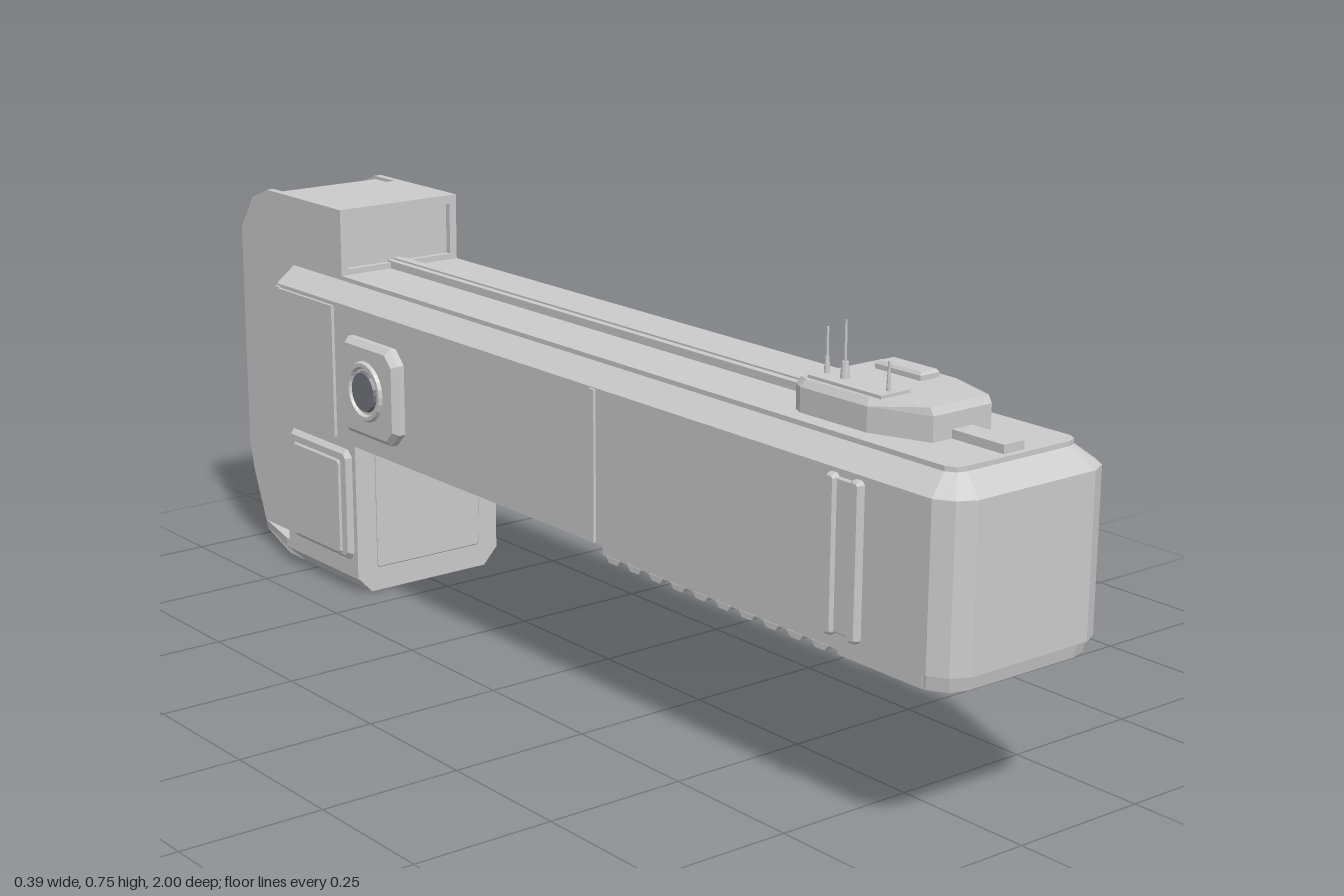
import * as THREE from 'three';

const grey = new THREE.MeshStandardMaterial({ color: 0xcccccc, flatShading: true });
const dark = new THREE.MeshStandardMaterial({ color: 0x74787e, flatShading: true });

export function createModel() {
  const model = new THREE.Group();

  const add = (name, geo, x = 0, y = 0, z = 0, ry = 0, mat = grey) => {
    const m = new THREE.Mesh(geo, mat);
    m.name = name;
    m.position.set(x, y, z);
    m.rotation.y = ry;
    model.add(m);
    return m;
  };
  // Box from its limits
  const box = (name, x0, x1, y0, y1, z0, z1, mat = grey) =>
    add(name, new THREE.BoxGeometry(x1 - x0, y1 - y0, z1 - z0), (x0 + x1) / 2, (y0 + y1) / 2, (z0 + z1) / 2, 0, mat);

  // Stacked plan outlines; each level is [y, right half of outline from front to back]
  const stack = (levels) => {
    const rings = levels.map(([y, half]) =>
      [...half, ...half.map(([x, z]) => [-x, z]).reverse()].map(([x, z]) => [x, y, z]));
    const n = rings[0].length, v = [];
    for (let l = 0; l < rings.length - 1; l++) {
      const a = rings[l], b = rings[l + 1];
      for (let i = 0; i < n; i++) {
        const j = (i + 1) % n;
        v.push(...a[i], ...a[j], ...b[j], ...a[i], ...b[j], ...b[i]);
      }
    }
    const lo = rings[0], hi = rings[rings.length - 1];
    for (let i = 1; i < n - 1; i++) v.push(...hi[0], ...hi[i], ...hi[i + 1], ...lo[0], ...lo[i + 1], ...lo[i]);
    const g = new THREE.BufferGeometry();
    g.setAttribute('position', new THREE.Float32BufferAttribute(v, 3));
    g.computeVertexNormals();
    return g;
  };

  // Side profile of [z, y] points extruded from x0 to x1
  const profile = (pts, x0, x1) => {
    const s = new THREE.Shape(pts.map(([z, y]) => new THREE.Vector2(z, y)));
    return new THREE.ExtrudeGeometry(s, { depth: x1 - x0, bevelEnabled: false })
      .rotateY(-Math.PI / 2).translate(x1, 0, 0);
  };

  // Octagonal-cornered rectangle
  const rect = (w, h, c, Type = THREE.Shape) => {
    const a = w / 2, b = h / 2;
    return new Type([[a - c, -b], [a, -b + c], [a, b - c], [a - c, b], [-a + c, b], [-a, b - c], [-a, -b + c], [-a + c, -b]]
      .map(([x, y]) => new THREE.Vector2(x, y)));
  };
  // Raised pad with bevelled rim facing +z, optionally with an opening
  const pad = (w, h, d, bevel, corner = 0.01, open = null) => {
    const s = rect(w - 2 * bevel, h - 2 * bevel, corner);
    if (open) s.holes.push(rect(open[0], open[1], 0.004, THREE.Path));
    return new THREE.ExtrudeGeometry(s, {
      depth: d - bevel, bevelEnabled: bevel > 0, bevelSize: bevel, bevelThickness: bevel, bevelSegments: 1,
    });
  };
  const sides = [1, -1];
  const turn = Math.PI / 2;

  // Main beam with chamfered nose and shoulders
  const plan = [[0.12, 1], [0.15, 0.985], [0.168, 0.955], [0.168, -0.81]];
  const topPlan = [[0.105, 0.96], [0.12, 0.955], [0.13, 0.94], [0.13, -0.81]];
  add('beam', stack([[0.295, plan], [0.56, plan], [0.59, topPlan], [0.598, topPlan]]));
  box('topRail', -0.02, 0.02, 0.595, 0.612, -0.66, 0.6);
  box('topRailGroove', -0.007, 0.007, 0.61, 0.615, -0.66, 0.6);
  box('frontRail', -0.021, 0.021, 0.595, 0.612, 0.84, 0.95);

  // Lower rim: nose bar, side rails and grip teeth
  add('noseRim', stack([[0.268, [[0.11, 0.985], [0.14, 0.975], [0.158, 0.945], [0.158, 0.93]]],
    [0.296, [[0.113, 0.99], [0.143, 0.98], [0.16, 0.95], [0.16, 0.93]]]]));
  for (const s of sides) {
    const x = s * 0.145;
    box('lowerRail', x - 0.015, x + 0.015, 0.276, 0.297, 0.19, 0.94);
    box('lowerRailFront', x - 0.014, x + 0.014, 0.268, 0.28, 0.76, 0.94);
    for (let i = 0; i < 10; i++) {
      const z = 0.2 + i * 0.056;
      add('gripTooth', profile([[z, 0.277], [z + 0.008, 0.267], [z + 0.03, 0.267], [z + 0.038, 0.277]], x - 0.016, x + 0.016));
    }
    // Vertical straps, seams and rear side plates
    for (const z of [0.755, 0.808]) add('strap', pad(0.022, 0.25, 0.012, 0.004, 0.003), s * 0.168, 0.428, z, s * turn);
    add('strapPlate', pad(0.05, 0.24, 0.006, 0.002, 0.003), s * 0.168, 0.428, 0.782, s * turn);
    box('seamBand', Math.min(s * 0.16, s * 0.173), Math.max(s * 0.16, s * 0.173), 0.297, 0.558, 0.168, 0.182);
    box('rearBand', Math.min(s * 0.16, s * 0.174), Math.max(s * 0.16, s * 0.174), 0.3, 0.556, -0.81, -0.796);
  }

  // Louvred window on one side
  add('windowFrame', pad(0.52, 0.22, 0.018, 0.008, 0.014, [0.465, 0.165]), 0.168, 0.428, -0.15, turn);
  box('windowBack', 0.16, 0.17, 0.34, 0.515, -0.385, 0.085, dark);
  for (let i = 0; i < 3; i++) {
    const slat = add('windowSlat', new THREE.BoxGeometry(0.004, 0.05, 0.464), 0.175, 0.373 + i * 0.055, -0.15, 0, dark);
    slat.rotation.z = 0.2;
  }

  // Twin clamp bars behind the window
  box('clampPlate', 0.16, 0.172, 0.302, 0.553, -0.8, -0.465);
  for (const y of [0.35, 0.51]) {
    add('clampBar', pad(0.31, 0.062, 0.02, 0.006, 0.006, [0.27, 0.026]), 0.17, y, -0.635, turn);
    box('clampInset', 0.165, 0.18, y - 0.014, y + 0.014, -0.775, -0.495);
  }

  // Round port on the other side
  add('portPad', pad(0.19, 0.18, 0.022, 0.01, 0.02), -0.168, 0.42, -0.475, -turn);
  add('portRing', new THREE.TorusGeometry(0.05, 0.007, 6, 24), -0.19, 0.42, -0.475, turn);
  add('portCore', new THREE.CylinderGeometry(0.036, 0.04, 0.01, 20).rotateZ(turn), -0.191, 0.42, -0.475, 0, dark);
  box('portSidePlate', -0.174, -0.16, 0.302, 0.553, -0.8, -0.61);

  // Rear column: recessed core between two full-profile cheeks
  const back = [[-0.64, 0.595], [-0.64, 0.722], [-0.9, 0.722], [-0.955, 0.7], [-1, 0.635],
    [-1, 0.2], [-0.985, 0.14], [-0.94, 0.03], [-0.86, 0], [-0.8, 0], [-0.8, 0.595]];
  const core = [[-0.652, 0.59], [-0.652, 0.716], [-0.895, 0.716], [-0.948, 0.693], [-0.99, 0.63],
    [-0.99, 0.203], [-0.975, 0.143], [-0.932, 0.037], [-0.86, 0.005], [-0.79, 0.005], [-0.79, 0.59]];
  add('columnCore', profile(core, -0.12, 0.12));
  for (const x0 of [-0.13, 0.115]) add('columnCheek', profile(back, x0, x0 + 0.015));
  box('columnUpperBar', -0.12, 0.12, 0.6, 0.636, -1, -0.98);
  box('columnLowerBar', -0.12, 0.12, 0.2, 0.225, -1, -0.98);
  box('columnTopPlate', -0.12, 0.12, 0.71, 0.722, -0.83, -0.64);
  box('headFrameTop', -0.12, 0.12, 0.705, 0.722, -0.655, -0.64);
  box('headFrameBottom', -0.12, 0.12, 0.595, 0.609, -0.655, -0.64);
  add('columnBottomBar', profile([[-0.94, 0.03], [-0.86, 0], [-0.84, 0.02], [-0.92, 0.06], [-0.95, 0.055]], -0.12, 0.12));

  // Foot block with chamfered base tapering into the column
  box('foot', -0.16, 0.16, 0.03, 0.297, -0.81, -0.563);
  add('footBase', stack([[0, [[0.13, -0.563], [0.13, -0.8], [0.12, -0.86]]],
    [0.032, [[0.16, -0.563], [0.16, -0.82], [0.13, -0.94]]],
    [0.047, [[0.16, -0.563], [0.16, -0.82], [0.13, -0.945]]]]));
  add('footFrontPanel', pad(0.234, 0.24, 0.004, 0.002, 0.002), 0, 0.166, -0.563);
  for (const s of sides) {
    add('footSidePad', pad(0.215, 0.215, 0.012, 0.008, 0.008), s * 0.158, 0.172, -0.682, s * turn);
    add('footSidePanel', pad(0.165, 0.185, 0.006, 0.003, 0.004), s * 0.168, 0.166, -0.682, s * turn);
  }

  // Top sensor housing
  const house = [[0.06, 0.845], [0.098, 0.745], [0.1, 0.6], [0.09, 0.58]];
  const houseTop = [[0.06, 0.838], [0.09, 0.74], [0.092, 0.605], [0.085, 0.585]];
  add('sensorHousing', stack([[0.596, house], [0.638, house], [0.65, houseTop]]));
  add('sensorButton', stack([[0.648, [[0.02, 0.05], [0.02, -0.05]]], [0.658, [[0.02, 0.05], [0.02, -0.05]]],
    [0.663, [[0.016, 0.046], [0.016, -0.046]]]]), 0.055, 0, 0.67);
  box('antennaPlate', -0.085, -0.025, 0.648, 0.655, 0.6, 0.76);
  for (const [x, z, top, r] of [[-0.055, 0.65, 0.745, 0.008], [-0.055, 0.61, 0.727, 0.005], [-0.055, 0.745, 0.7, 0.004]]) {
    add('antennaBase', new THREE.CylinderGeometry(r * 0.7, r, 0.028, 10), x, 0.667, z);
    add('antenna', new THREE.CylinderGeometry(0.002, 0.0025, top - 0.65, 8), x, (top + 0.65) / 2, z);
  }
  return model;
}
